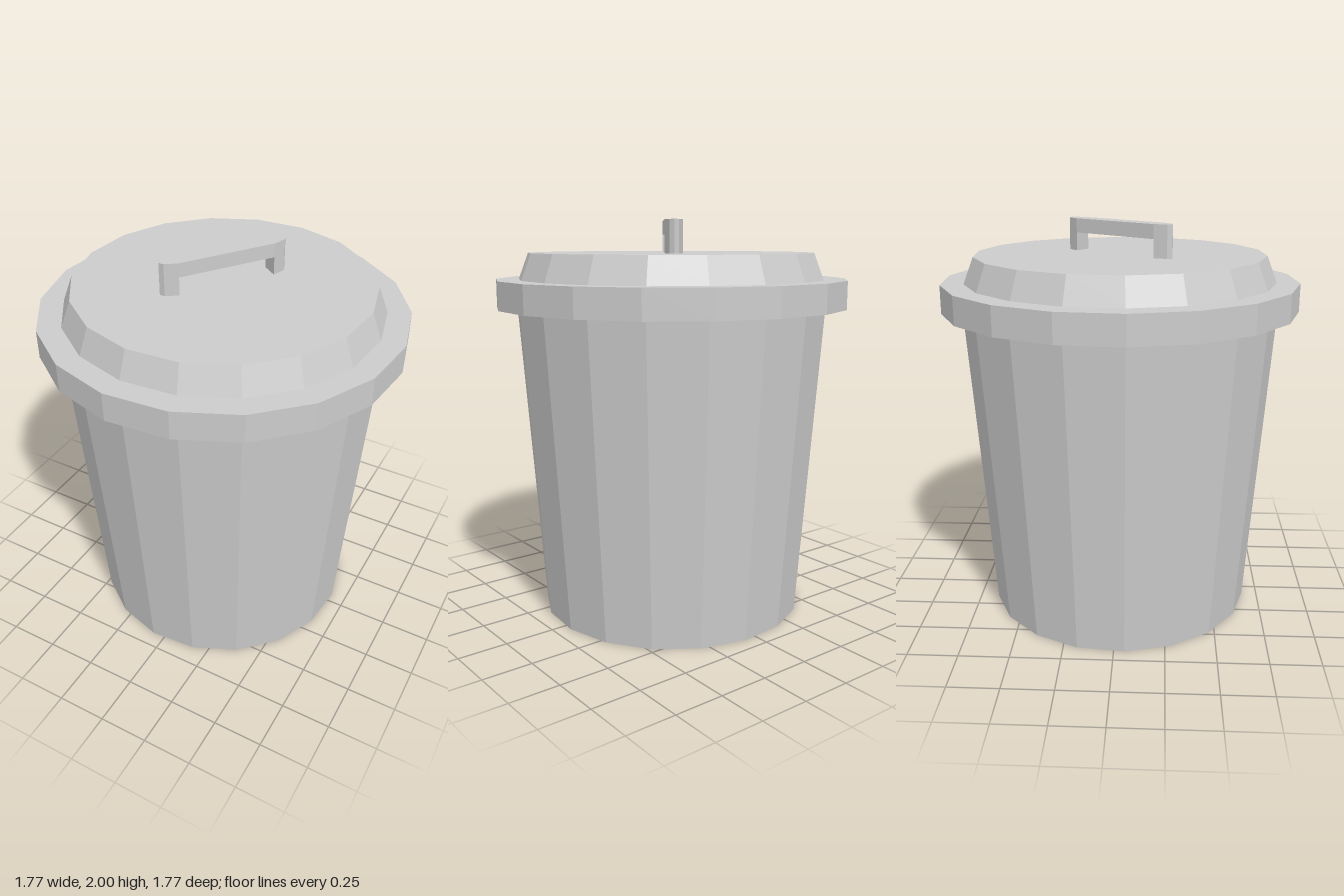
import * as THREE from 'three';

const SIDES = 18;
const TURN = THREE.MathUtils.degToRad(14.4);
const material = new THREE.MeshStandardMaterial({ color: 0xcccccc, flatShading: true });

// Faceted solid of revolution from [radius, height] pairs, listed bottom to top
function turned(name, profile) {
  const points = profile.map(([r, y]) => new THREE.Vector2(r, y));
  const mesh = new THREE.Mesh(new THREE.LatheGeometry(points, SIDES, TURN), material);
  mesh.name = name;
  return mesh;
}

// Upright prism from a plan outline
function prism(name, outline, bottom, top) {
  const shape = new THREE.Shape(outline.map(([x, y]) => new THREE.Vector2(x, y)));
  const geometry = new THREE.ExtrudeGeometry(shape, { depth: top - bottom, bevelEnabled: false });
  geometry.rotateX(-Math.PI / 2).translate(0, bottom, 0);
  const mesh = new THREE.Mesh(geometry, material);
  mesh.name = name;
  return mesh;
}

export function createModel() {
  const model = new THREE.Group();
  model.name = 'trashCan';

  // Tapered bin, flaring slightly where it tucks under the lid
  model.add(turned('bin', [[0, 0], [0.675, 0], [0.788, 1.59], [0.86, 1.66], [0.86, 1.69]]));

  // Lid with a hollow overhanging rim and a sloped, flat-topped crown
  model.add(turned('lid', [
    [0.775, 1.69], [0.87, 1.69], [0.87, 1.57], [0.89, 1.57],
    [0.89, 1.71], [0.775, 1.71], [0.725, 1.84], [0, 1.84],
  ]));

  // Handle: long bar with tapered ends, each end carried down as a leg
  const handle = new THREE.Group();
  handle.name = 'handle';
  const end = [[0.242, -0.044], [0.307, -0.023], [0.322, 0], [0.307, 0.023], [0.242, 0.044]];
  const opposite = end.map(([x, y]) => [-x, -y]);
  handle.add(prism('handleBar', [...end, ...opposite], 1.93, 2));
  handle.add(prism('handleLegRight', end, 1.84, 1.93));
  handle.add(prism('handleLegLeft', opposite, 1.84, 1.93));
  handle.rotation.y = THREE.MathUtils.degToRad(54);
  handle.position.set(-0.003, 0, -0.003);
  model.add(handle);

  return model;
}
